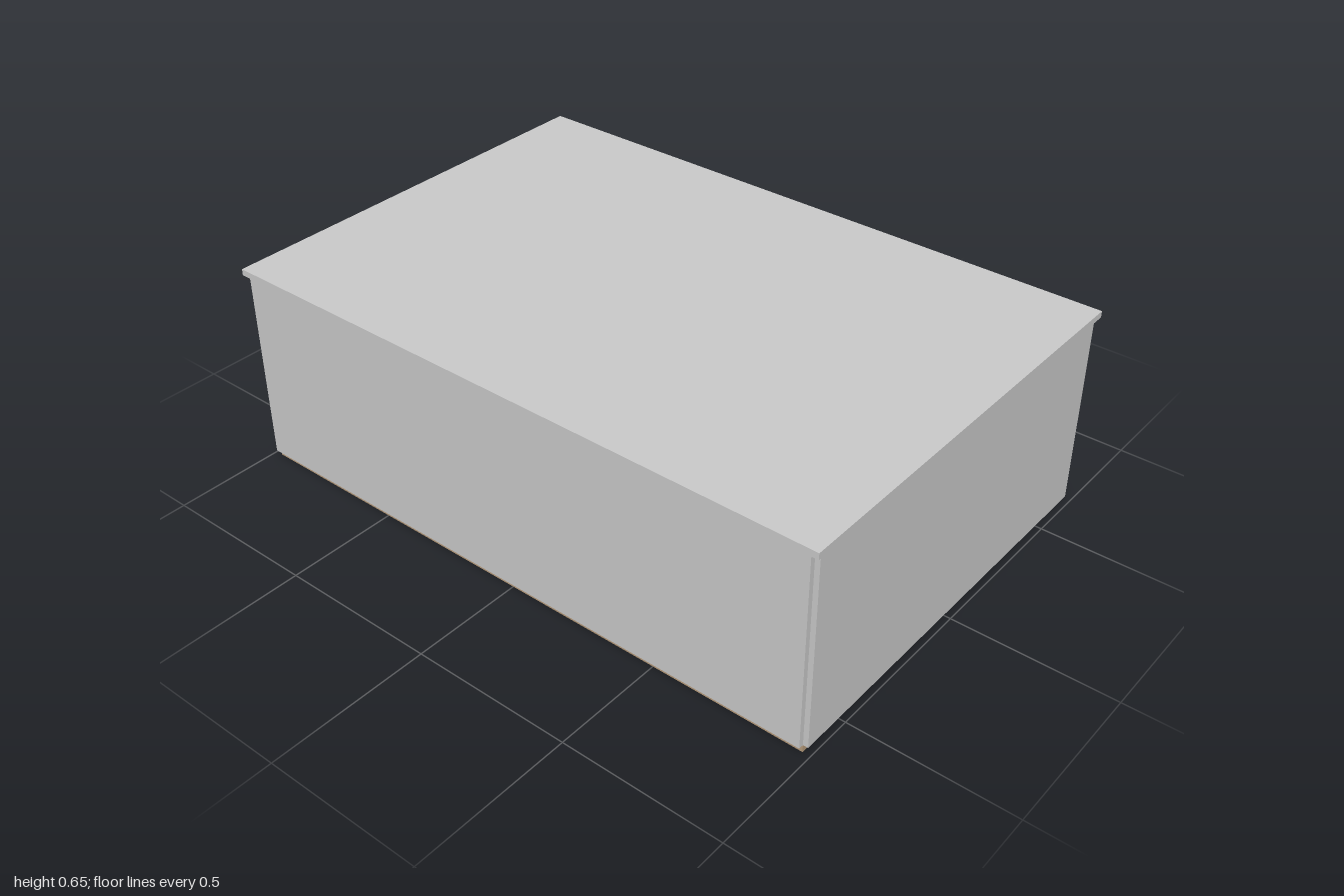
import * as THREE from 'three';

const material = (color) => new THREE.MeshStandardMaterial({ color });

export function createModel() {
  const group = new THREE.Group();
  const grey = material(0xcccccc);
  const wood = material(0xb89c7c);
  const tan = material(0xb09a80);
  const blue = material(0x88a0b4);

  // Box given by its limits on each axis
  function block(name, mat, [x0, x1], [y0, y1], [z0, z1]) {
    const mesh = new THREE.Mesh(new THREE.BoxGeometry(x1 - x0, y1 - y0, z1 - z0), mat);
    mesh.position.set((x0 + x1) / 2, (y0 + y1) / 2, (z0 + z1) / 2);
    mesh.name = name;
    group.add(mesh);
  }

  const X = 0.976, Z = 0.651; // half size of the floor
  const T = 0.0155;           // half thickness of the walls
  const FLOOR = 0.024, EAVES = 0.632, TOP = 0.652;
  const height = [FLOOR, EAVES];

  // Floor slab and flat roof
  block('floor', wood, [-X, X], [0, FLOOR], [-Z, Z]);
  block('roof', grey, [-1, 1], [EAVES, TOP], [-0.672, 0.672]);

  // Walls centred on the floor's edges, leaving notched corners
  block('frontWall', grey, [-X, X], height, [Z - T, Z + T]);
  block('leftWall', grey, [X - T, X + T], height, [-Z, Z]);
  block('rightWall', grey, [-X - T, -X + T], height, [-Z, Z]);

  // Back wall in two pieces beside a full-height doorway
  block('backWallLong', grey, [-0.568, X], height, [-Z - T, -Z + T]);
  block('backWallShort', grey, [-X, -0.764], height, [-Z - T, -Z + T]);

  // Inner partition and the furniture behind the doorway
  block('partition', grey, [-X + T, X - T], height, [-T, T]);
  block('blueCabinet', blue, [-0.86, -0.36], [FLOOR, 0.2], [-0.614, -0.426]);
  block('woodenCabinet', tan, [-0.6, -0.05], [FLOOR, 0.21], [-0.203, -T]);

  return group;
}
